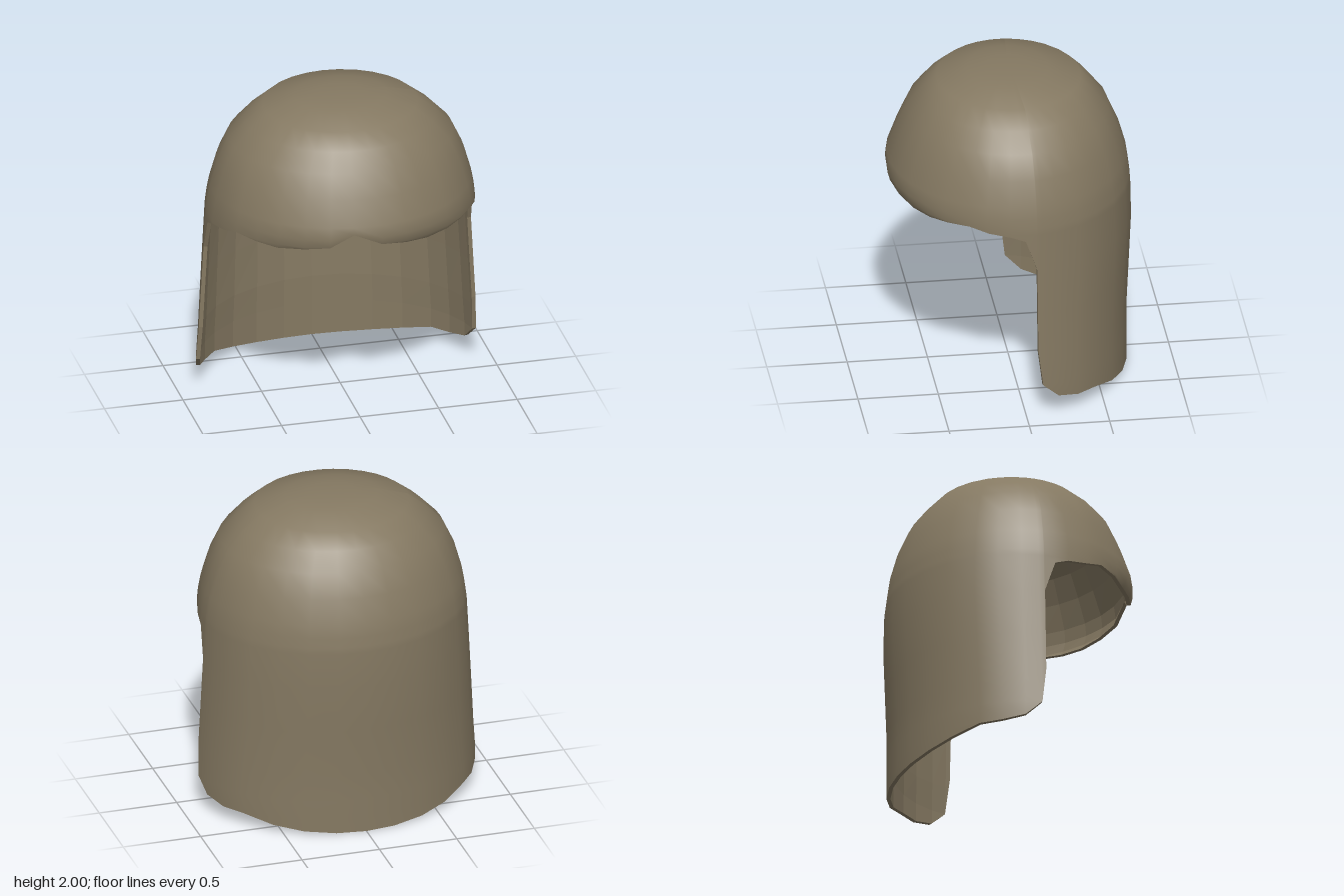
import * as THREE from 'three';
import { mergeVertices } from 'three/addons/utils/BufferGeometryUtils.js';

const THICKNESS = 0.025;

// Shell cross-sections: height, half width, depth to the front, depth to the back
const SECTIONS = [
  [2.0, 0, 0, 0],
  [1.995, 0.15, 0.13, 0.13],
  [1.983, 0.29, 0.25, 0.25],
  [1.93, 0.48, 0.44, 0.45],
  [1.84, 0.595, 0.535, 0.535],
  [1.73, 0.7, 0.62, 0.62],
  [1.58, 0.77, 0.69, 0.685],
  [1.42, 0.815, 0.75, 0.73],
  [1.34, 0.83, 0.762, 0.742],
  [1.28, 0.838, 0.745, 0.75],
  [1.24, 0.842, 0.715, 0.755],
  [1.0, 0.855, 0.7, 0.76],
  [0.7, 0.872, 0.7, 0.745],
  [0.4, 0.888, 0.7, 0.73],
  [0.22, 0.9, 0.7, 0.73],
  [0.1, 0.9, 0.7, 0.73],
  [0, 0.9, 0.7, 0.73],
];

// Lower edge: angle from the front in degrees, height
const BROW = [[-51, 1.265], [-40, 1.25], [-28, 1.265], [-17, 1.285], [-7, 1.375],
  [5.5, 1.29], [17, 1.265], [28, 1.25], [40, 1.257], [51, 1.27]];
const SIDE = [[63, 1.28], [72, 1.25], [83, 1.23], [90, 1.2], [95.3, 1.0], [95.7, 0.45],
  [98, 0.22], [106, 0.13], [117, 0.1], [128, 0.095], [142, 0.05], [155, 0.02], [168, 0.004]];
const HEM = [
  ...SIDE.map(([a, y]) => [-a, y]).reverse(),
  ...BROW,
  ...SIDE,
  [180, 0],
];

function sectionAt(y) {
  let i = 1;
  while (i < SECTIONS.length - 1 && SECTIONS[i][0] > y) i++;
  const a = SECTIONS[i - 1], b = SECTIONS[i];
  const t = (a[0] - y) / (a[0] - b[0]);
  return a.map((v, k) => THREE.MathUtils.lerp(v, b[k], t));
}

// Point on the shell, moved inwards by inset
function shellPoint(degrees, y, inset) {
  const angle = THREE.MathUtils.degToRad(degrees);
  const [, width, front, back] = sectionAt(y);
  const depth = Math.cos(angle) > 0 ? front : back;
  return [
    Math.sin(angle) * Math.max(0, width - inset),
    y - inset * Math.max(0, (y - 1.5) / 0.5),
    Math.cos(angle) * Math.max(0, depth - inset),
  ];
}

function geometryFrom(positions, index) {
  const g = new THREE.BufferGeometry();
  g.setAttribute('position', new THREE.Float32BufferAttribute(positions, 3));
  g.setIndex(index);
  return g;
}

// Wall surface from the crown down to the hem; rows below the hem stop on it
function wall(inset, inward) {
  const positions = [], index = [];
  const rows = SECTIONS.length, cols = HEM.length;
  const level = (c, r) => Math.max(SECTIONS[r][0], HEM[c][1]);
  const tri = (a, b, c) => (inward ? index.push(a, c, b) : index.push(a, b, c));
  for (let c = 0; c < cols; c++) {
    const n = (c + 1) % cols;
    for (let r = 0; r < rows; r++) {
      positions.push(...shellPoint(HEM[c][0], level(c, r), inset));
      if (r === rows - 1) continue;
      const a = c * rows + r, d = n * rows + r;
      if (level(c, r) > level(c, r + 1)) tri(a, a + 1, d + 1);
      if (r > 0 && level(n, r) > level(n, r + 1)) tri(a, d + 1, d);
    }
  }
  return mergeVertices(geometryFrom(positions, index));
}

// Narrow strip joining outer and inner walls along the hem
function rim() {
  const positions = [], index = [], cols = HEM.length;
  HEM.forEach(([angle, y], c) => {
    positions.push(...shellPoint(angle, y, 0), ...shellPoint(angle, y, THICKNESS));
    const o = c * 2, p = ((c + 1) % cols) * 2;
    index.push(o, o + 1, p + 1, o, p + 1, p);
  });
  return geometryFrom(positions, index);
}

export function createModel() {
  const group = new THREE.Group();
  group.name = 'hood';
  const smooth = new THREE.MeshStandardMaterial({ color: 0x857962 });
  const faceted = new THREE.MeshStandardMaterial({ color: 0x857962, flatShading: true });
  const add = (name, geometry, material) => {
    geometry.computeVertexNormals();
    const mesh = new THREE.Mesh(geometry, material);
    mesh.name = name;
    group.add(mesh);
  };
  // Crown and neck flap in one piece
  add('outerShell', wall(0, false), smooth);
  add('lining', wall(THICKNESS, true), faceted);
  add('hemRim', rim(), faceted);
  return group;
}
